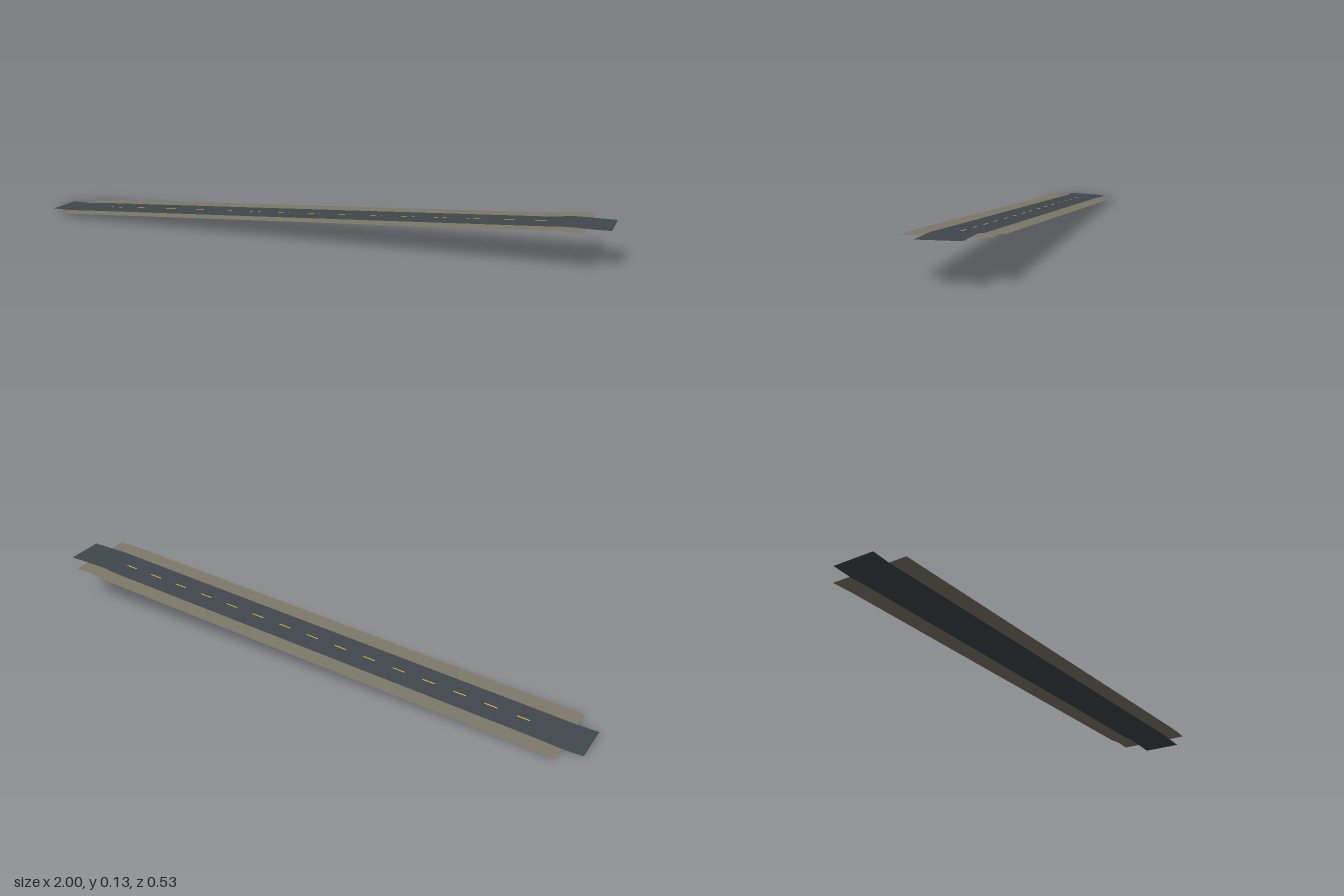
import * as THREE from 'three';

const ANGLE = 0.1503; // heading of the road, turned about the vertical
const HALF = 0.1275; // half width including the shoulders

// Height stations along the road: distance, front edge, back edge
const STATIONS = [
  [-1.0, 0.011, 0.0],
  [-0.93, 0.0115, 0.0005],
  [-0.845, 0.017, 0.009],
  [0.8, 0.125, 0.12],
  [0.86, 0.128, 0.13],
  [0.93, 0.128, 0.131],
  [1.0, 0.129, 0.131],
];

// Point on the banked surface: s along the road, w across it (front is +)
function surfacePoint(s, w, lift) {
  let i = 0;
  while (i < STATIONS.length - 2 && s > STATIONS[i + 1][0]) i++;
  const [s0, f0, b0] = STATIONS[i];
  const [s1, f1, b1] = STATIONS[i + 1];
  const t = (s - s0) / (s1 - s0);
  const front = f0 + (f1 - f0) * t;
  const back = b0 + (b1 - b0) * t;
  const y = back + (front - back) * (w + HALF) / (2 * HALF) + lift;
  const c = Math.cos(ANGLE), n = Math.sin(ANGLE);
  return [s * c + w * n, y, -s * n + w * c];
}

// Thin sheet following the surface between two distances and two offsets
function strip(name, material, s0, s1, w0, w1, lift = 0) {
  const inner = STATIONS.map((r) => r[0]).filter((s) => s > s0 && s < s1);
  const cuts = [s0, ...inner, s1];
  const positions = [], index = [];
  cuts.forEach((s, i) => {
    positions.push(...surfacePoint(s, w0, lift), ...surfacePoint(s, w1, lift));
    if (i) {
      const a = 2 * i - 2;
      index.push(a, a + 1, a + 2, a + 1, a + 3, a + 2);
    }
  });
  const geometry = new THREE.BufferGeometry();
  geometry.setAttribute('position', new THREE.Float32BufferAttribute(positions, 3));
  geometry.setIndex(index);
  geometry.computeVertexNormals();
  const mesh = new THREE.Mesh(geometry, material);
  mesh.name = name;
  return mesh;
}

function flat(name, color) {
  const material = new THREE.MeshStandardMaterial({ color, side: THREE.DoubleSide });
  material.name = name;
  return material;
}

export function createModel() {
  const asphalt = flat('asphalt', 0x40474c);
  const gravel = flat('gravel', 0x7e7969);
  const yellow = flat('yellow paint', 0xd8b040);

  const model = new THREE.Group();
  model.name = 'road';

  // Carriageway, longer than its shoulders
  const edge = 0.068;
  model.add(strip('carriageway', asphalt, -1.003, 1.003, -edge, edge));

  // Gravel shoulders
  model.add(strip('frontShoulder', gravel, -0.932, 0.928, edge, HALF));
  model.add(strip('backShoulder', gravel, -0.932, 0.928, -HALF, -edge));

  // Dashed centre line
  const dashes = new THREE.Group();
  dashes.name = 'centreLine';
  for (let i = -7; i <= 7; i++) {
    const s = i * 0.111;
    dashes.add(strip('dash', yellow, s - 0.022, s + 0.022, -0.0025, 0.0025, 0.0012));
  }
  model.add(dashes);
  return model;
}
